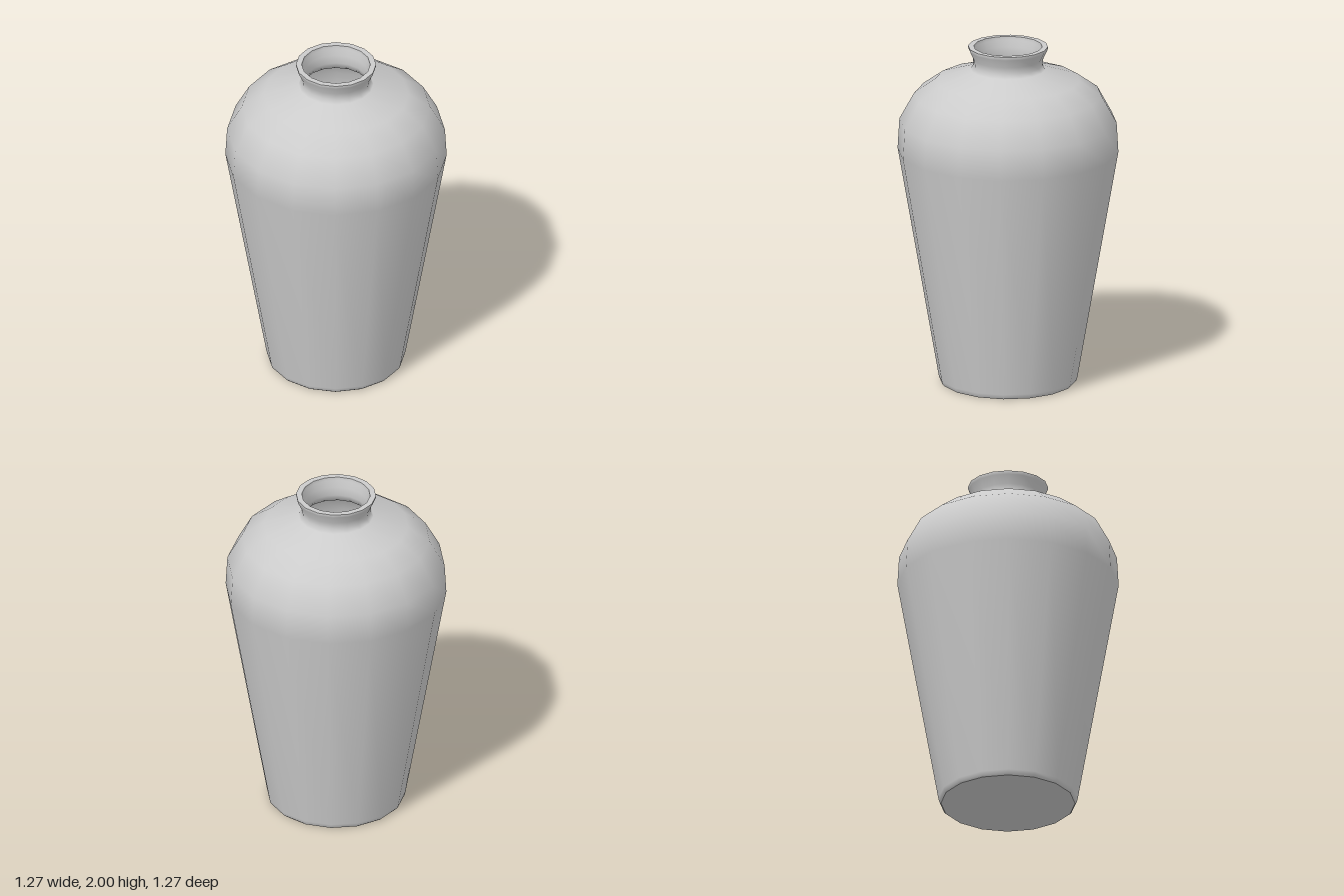
import * as THREE from 'three';

const SIDES = 16;
const material = new THREE.MeshStandardMaterial({ color: 0xcccccc });

// Revolves one smooth stretch of the profile; separate stretches meet in sharp edges.
function turned(name, profile) {
  const points = profile.map(([r, y]) => new THREE.Vector2(r, y));
  const mesh = new THREE.Mesh(new THREE.LatheGeometry(points, SIDES), material);
  mesh.name = name;
  return mesh;
}

export function createModel() {
  const vase = new THREE.Group();
  vase.name = 'vase';

  vase.add(
    // flat underside
    turned('base', [[0, 0], [0.385, 0]]),
    // tapered body, round shoulder and flared neck
    turned('outerWall', [
      [0.385, 0], [0.395, 0.01], [0.4, 0.03], [0.635, 1.38], [0.625, 1.555],
      [0.54, 1.71], [0.415, 1.8], [0.215, 1.865], [0.198, 1.89],
      [0.203, 1.93], [0.226, 1.98], [0.23, 1.99], [0.23, 2],
    ]),
    // flat lip around the mouth
    turned('rim', [[0.23, 2], [0.197, 2]]),
    // hollow inside, following the outer wall
    turned('innerWall', [
      [0.197, 2], [0.195, 1.98], [0.182, 1.94], [0.178, 1.89], [0.19, 1.85],
      [0.4, 1.78], [0.52, 1.69], [0.6, 1.545], [0.61, 1.38], [0.375, 0.03],
    ]),
    turned('innerFloor', [[0.375, 0.03], [0, 0.03]]),
  );
  return vase;
}
